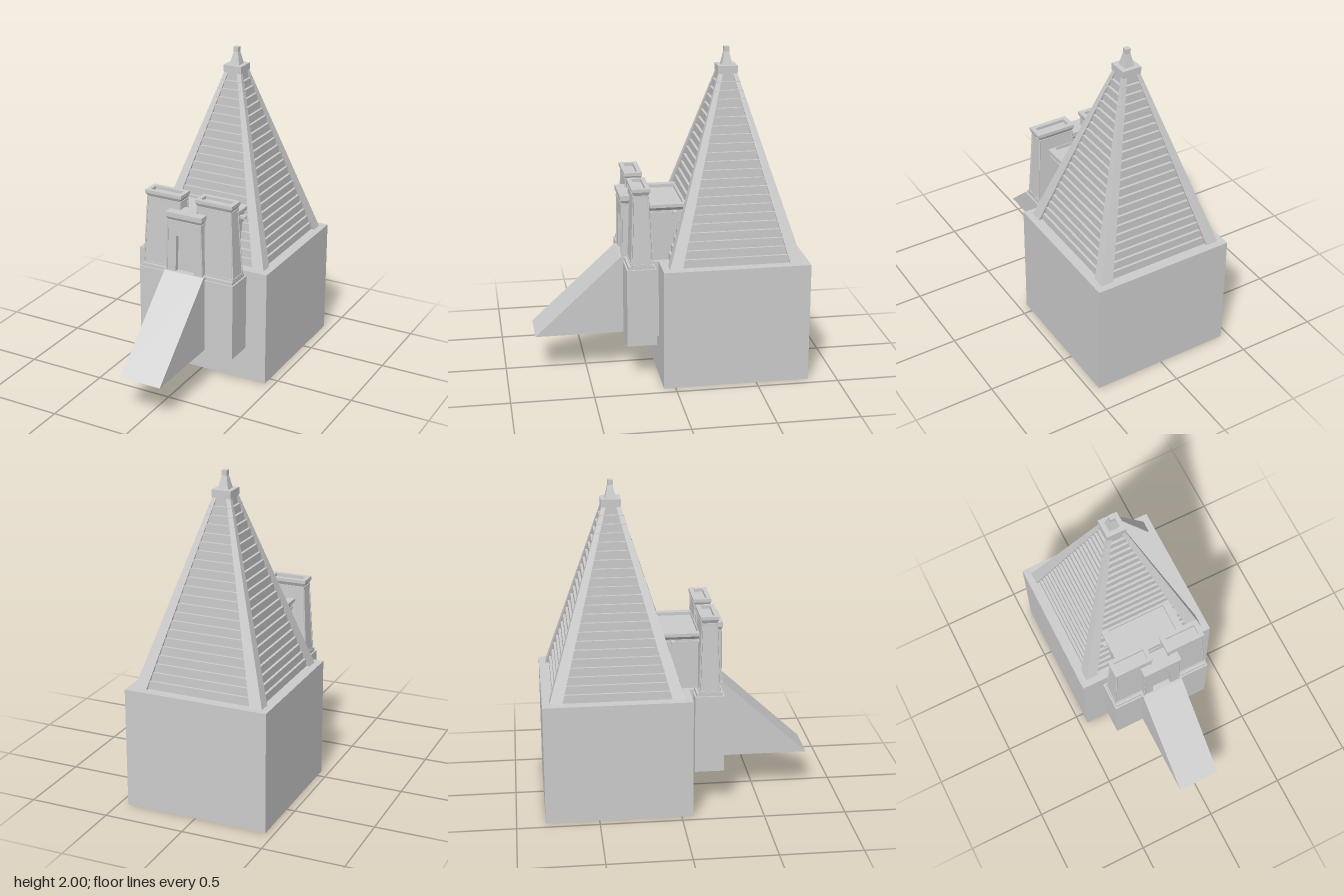
import * as THREE from 'three';

const mat = new THREE.MeshStandardMaterial({ color: 0xcccccc, flatShading: true, side: THREE.DoubleSide });

function add(parent, name, geo) {
  const m = new THREE.Mesh(geo, mat);
  m.name = name;
  parent.add(m);
  return m;
}

// Box whose bottom and top rectangles [x0, x1, z0, z1] may differ
function frustum(parent, name, y0, y1, bottom, top = bottom) {
  const g = new THREE.BoxGeometry(1, 1, 1), p = g.attributes.position;
  for (let i = 0; i < p.count; i++) {
    const up = p.getY(i) > 0, r = up ? top : bottom;
    p.setXYZ(i, p.getX(i) < 0 ? r[0] : r[1], up ? y1 : y0, p.getZ(i) < 0 ? r[2] : r[3]);
  }
  g.computeVertexNormals();
  return add(parent, name, g);
}

const grow = (r, d) => [r[0] - d, r[1] + d, r[2] - d, r[3] + d];

// Flat rectangular frame, hollow in the middle
function frame(parent, name, y0, y1, outer, inner) {
  const rect = (T, r) => new T([[r[0], r[2]], [r[1], r[2]], [r[1], r[3]], [r[0], r[3]]]
    .map(([x, z]) => new THREE.Vector2(x, -z)));
  const s = rect(THREE.Shape, outer);
  s.holes.push(rect(THREE.Path, inner));
  const g = new THREE.ExtrudeGeometry(s, { depth: y1 - y0, bevelEnabled: false });
  g.rotateX(-Math.PI / 2).translate(0, y0, 0);
  return add(parent, name, g);
}

// Thin round moulding between two points
function roll(parent, name, a, b, r) {
  const A = new THREE.Vector3(...a), B = new THREE.Vector3(...b);
  add(parent, name, new THREE.TubeGeometry(new THREE.LineCurve3(A, B), 1, r, 6));
}

export function createModel() {
  const model = new THREE.Group();
  model.name = 'pyramidChapel';

  // Hollow base block, open underneath
  const box = new THREE.BoxGeometry(0.895, 0.745, 0.895);
  const idx = Array.from(box.index.array);
  idx.splice(18, 6);
  box.setIndex(idx);
  box.clearGroups();
  box.translate(-0.0025, 0.3725, -0.3775);
  add(model, 'baseBlock', box);
  frustum(model, 'innerFoundation', 0.26, 0.7, [-0.27, 0.27, -0.6, 0.06]);

  // Stepped pyramid with corner ribs
  const pyramid = new THREE.Group();
  pyramid.name = 'pyramid';
  pyramid.position.set(-0.0025, 0, -0.3775);
  model.add(pyramid);
  const Y0 = 0.745, Y1 = 1.85, R0 = 0.405, R1 = 0.056, courses = 22;
  const square = (h) => [-h, h, -h, h];
  for (let i = 0; i < courses; i++) {
    const t = i / courses, dy = (Y1 - Y0) / courses;
    const h = R0 - 0.022 + (R1 - R0 + 0.008) * t;
    frustum(pyramid, 'course', Y0 + i * dy, Y0 + (i + 1) * dy, square(h));
  }
  for (const sx of [-1, 1]) for (const sz of [-1, 1]) {
    const corner = (a, b) => [...[sx * a, sx * b].sort((p, q) => p - q), ...[sz * a, sz * b].sort((p, q) => p - q)];
    frustum(pyramid, 'cornerRib', Y0, Y1, corner(0.328, R0), corner(0.03, R1));
  }
  frustum(pyramid, 'capBlock', 1.85, 1.892, square(0.06));
  frustum(pyramid, 'spire', 1.892, 1.975, square(0.032), square(0.014));
  frustum(pyramid, 'spireTip', 1.97, 2, square(0.016));

  // Terrace and approach ramp
  frustum(model, 'terrace', 0.235, 0.725, [-0.325, 0.32, 0.095, 0.275]);
  frustum(model, 'terraceTop', 0.725, 0.745, [-0.315, 0.31, 0.105, 0.265]);
  frustum(model, 'terraceLink', 0.255, 0.745, [-0.24, 0.235, 0.05, 0.1]);
  const side = new THREE.Shape([[0.82, 0.255], [0.29, 0.745], [0.06, 0.745], [0.06, 0.255]]
    .map(([z, y]) => new THREE.Vector2(-z, y)));
  const ramp = new THREE.ExtrudeGeometry(side, { depth: 0.27, bevelEnabled: false });
  ramp.rotateY(Math.PI / 2).translate(-0.14, 0, 0);
  add(model, 'ramp', ramp);

  // Pylon towers with corner mouldings and hollow-topped cornices
  for (const s of [-1, 1]) {
    const tower = new THREE.Group();
    tower.name = s < 0 ? 'rightTower' : 'leftTower';
    tower.position.set(s * 0.172 - 0.0025, 0, 0.184);
    model.add(tower);
    const low = [-0.135, 0.135, -0.06, 0.06], high = [-0.112, 0.112, -0.044, 0.044];
    frustum(tower, 'towerFoot', 0.735, 0.755, grow(low, 0.004));
    frustum(tower, 'towerBody', 0.745, 1.17, low, high);
    for (const i of [0, 1]) for (const k of [2, 3])
      roll(tower, 'cornerRoll', [low[i], 0.745, low[k]], [high[i], 1.172, high[k]], 0.005);
    frustum(tower, 'towerBand', 1.168, 1.18, grow(high, 0.005));
    frustum(tower, 'towerCornice', 1.18, 1.202, high, grow(high, 0.011));
    frame(tower, 'towerRim', 1.202, 1.222, grow(high, 0.012), grow(high, -0.015));
  }

  // Gateway with a recessed door
  const gate = new THREE.Group();
  gate.name = 'gateway';
  gate.position.x = -0.007;
  model.add(gate);
  const front = new THREE.Shape([[-0.122, 0.745], [-0.062, 0.745], [-0.056, 0.98], [0.056, 0.98],
    [0.062, 0.745], [0.122, 0.745], [0.112, 1.07], [-0.112, 1.07]].map((p) => new THREE.Vector2(...p)));
  const wall = new THREE.ExtrudeGeometry(front, { depth: 0.1, bevelEnabled: false });
  add(gate, 'gateWall', wall.translate(0, 0, 0.178));
  frustum(gate, 'door', 0.745, 1.0, [-0.075, 0.075, 0.19, 0.25]);
  const gTop = [-0.112, 0.112, 0.18, 0.276];
  for (const s of [-1, 1]) roll(gate, 'gateRoll', [s * 0.122, 0.745, 0.278], [s * 0.112, 1.07, 0.278], 0.005);
  frustum(gate, 'gateBand', 1.068, 1.08, grow(gTop, 0.006));
  frustum(gate, 'gateCornice', 1.08, 1.1, gTop, grow(gTop, 0.011));
  frustum(gate, 'gateTop', 1.1, 1.13, grow(gTop, 0.012));

  // Hall joining the towers to the pyramid
  const hall = new THREE.Group();
  hall.name = 'hall';
  hall.position.x = -0.0025;
  model.add(hall);
  const plan = [-0.212, 0.212, -0.12, 0.125];
  frustum(hall, 'hallWalls', 0.745, 1.06, plan);
  frustum(hall, 'hallBand', 1.038, 1.048, grow(plan, 0.006));
  frustum(hall, 'hallCornice', 1.06, 1.08, plan, [-0.23, 0.23, -0.12, 0.13]);
  frame(hall, 'hallParapet', 1.08, 1.1, [-0.23, 0.23, -0.12, 0.13], [-0.185, 0.185, -0.115, 0.125]);
  for (const s of [-1, 1])
    frustum(hall, 'waterSpout', 1.04, 1.056, [s * 0.23 - 0.02, s * 0.23 + 0.02, -0.042, -0.018]);

  return model;
}
